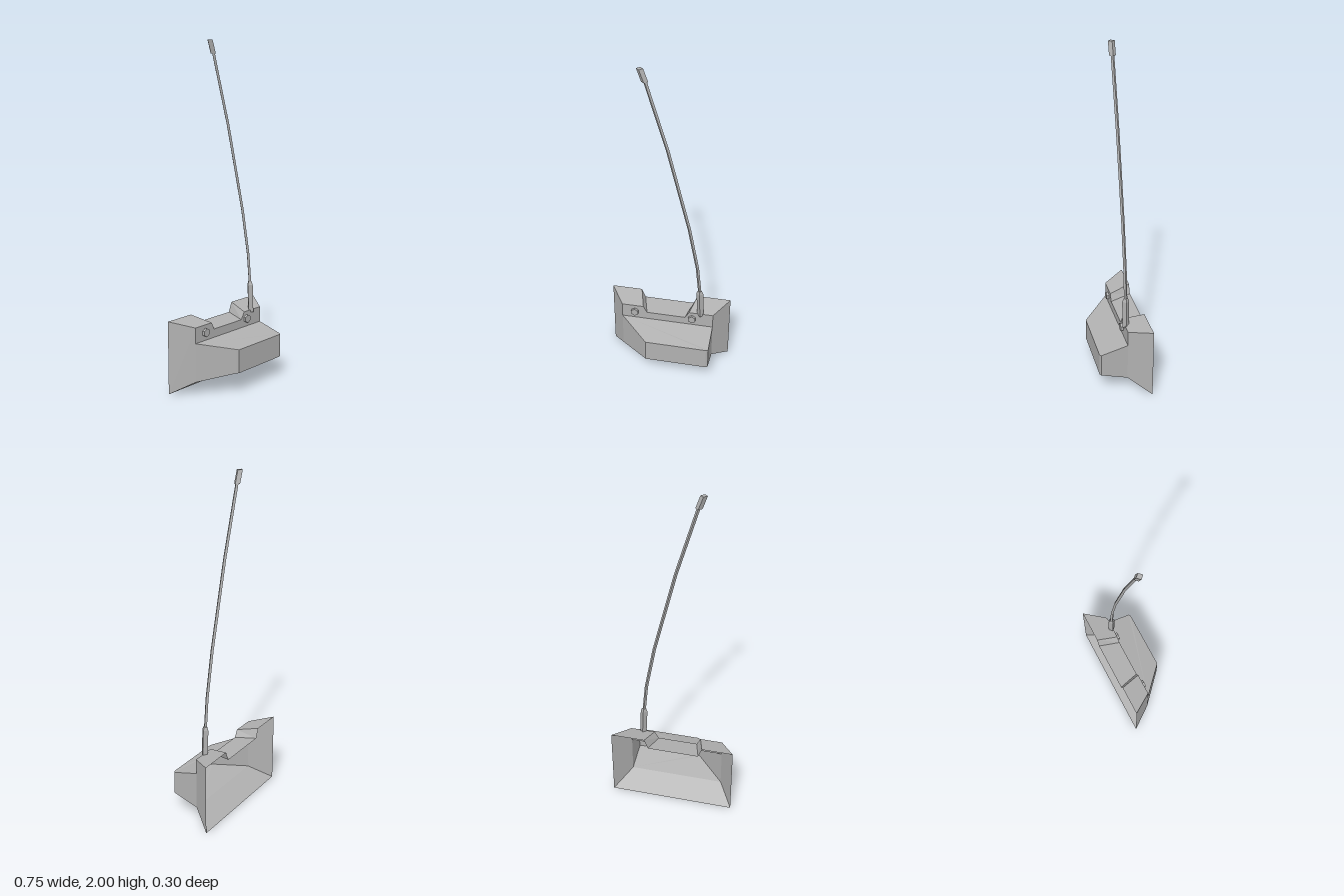
import * as THREE from 'three';

const grey = new THREE.MeshStandardMaterial({ color: 0xb0b0b0, side: THREE.DoubleSide });
grey.name = 'plain grey';

// Mesh of flat convex panels, each a list of corners
function panels(name, list) {
  const pos = [];
  for (const p of list)
    for (let i = 1; i < p.length - 1; i++) pos.push(...p[0], ...p[i], ...p[i + 1]);
  const geo = new THREE.BufferGeometry();
  geo.setAttribute('position', new THREE.Float32BufferAttribute(pos, 3));
  geo.computeVertexNormals();
  const mesh = new THREE.Mesh(geo, grey);
  mesh.name = name;
  return mesh;
}

// Panels joining two rows of points
function strip(a, b) {
  const out = [];
  for (let i = 0; i < a.length - 1; i++) out.push([a[i], a[i + 1], b[i + 1], b[i]]);
  return out;
}

// Diamond-section rod through level rings given as [x, y, radius]
function rod(name, rings, z) {
  const rows = rings.map(([x, y, r]) =>
    [[x + r, y, z], [x, y, z - r], [x - r, y, z], [x, y, z + r], [x + r, y, z]]);
  const list = [rows[0].slice(0, 4).reverse(), rows[rows.length - 1].slice(0, 4)];
  for (let i = 0; i < rows.length - 1; i++) list.push(...strip(rows[i], rows[i + 1]));
  return panels(name, list);
}

export function createModel() {
  const group = new THREE.Group();
  group.name = 'housing with whip';
  const zRim = -0.15, zMid = -0.02;

  // Notched upper edge, at the rear rim and at the mounting plate
  const rim = [[-0.377, 0.434], [-0.19, 0.434], [-0.167, 0.375], [0.145, 0.375], [0.168, 0.434], [0.375, 0.434]]
    .map(([x, y]) => [x, y, zRim]);
  const mid = [[-0.288, 0.403], [-0.153, 0.403], [-0.13, 0.36], [0.11, 0.36], [0.137, 0.403], [0.285, 0.403]]
    .map(([x, y]) => [x, y, zMid]);
  const plateFoot = mid.map(([x]) => [x, 0.31, zMid]);
  group.add(panels('topFlange', strip(mid, rim)));
  group.add(panels('mountingPlate', strip(plateFoot, mid)));

  // Outline of the front box, narrowing to its chamfered nose
  const outline = [[-0.288, zMid], [-0.118, 0.138], [-0.105, 0.148], [0.272, 0.148], [0.285, 0.14], [0.285, zMid]];
  const row = (yMid, yNose) => outline.map(([x, z], i) => [x, i % 5 ? yNose : yMid, z]);
  const upper = row(0.31, 0.265), lower = row(0.08, 0.125);
  group.add(panels('boxRoof', [upper]));
  group.add(panels('boxWalls', strip(lower, upper)));

  // Floor and flared rear sides
  const rimL = [0.375, 0, zRim], rimR = [-0.377, 0, zRim];
  group.add(panels('floor', [[...lower].reverse(), [rimR, rimL, lower[5], lower[0]]]));
  group.add(panels('leftFlare', [[rimL, rim[5], mid[5], lower[5]]]));
  group.add(panels('rightFlare', [[rimR, lower[0], mid[0], rim[0]]]));

  // Hexagonal bolts
  for (const x of [-0.207, 0.155]) {
    const bolt = new THREE.Mesh(new THREE.CylinderGeometry(0.025, 0.025, 0.016, 6).toNonIndexed(), grey);
    bolt.geometry.computeVertexNormals();
    bolt.rotation.x = Math.PI / 2;
    bolt.position.set(x, 0.358, -0.013);
    bolt.name = 'bolt';
    group.add(bolt);
  }

  // Bent whip with its socket and tip cap
  const z = -0.027;
  group.add(rod('whipSocket', [[0.207, 0.39, 0.02], [0.199, 0.56, 0.021], [0.198, 0.58, 0.013]], z));
  group.add(rod('whip', [[0.199, 0.56, 0.01], [0.18, 0.75, 0.01], [0.127, 1.026, 0.01],
    [0, 1.53, 0.01], [-0.124, 1.94, 0.01]], z));
  group.add(rod('whipTip', [[-0.122, 1.926, 0.019], [-0.148, 2, 0.019]], z));
  return group;
}
